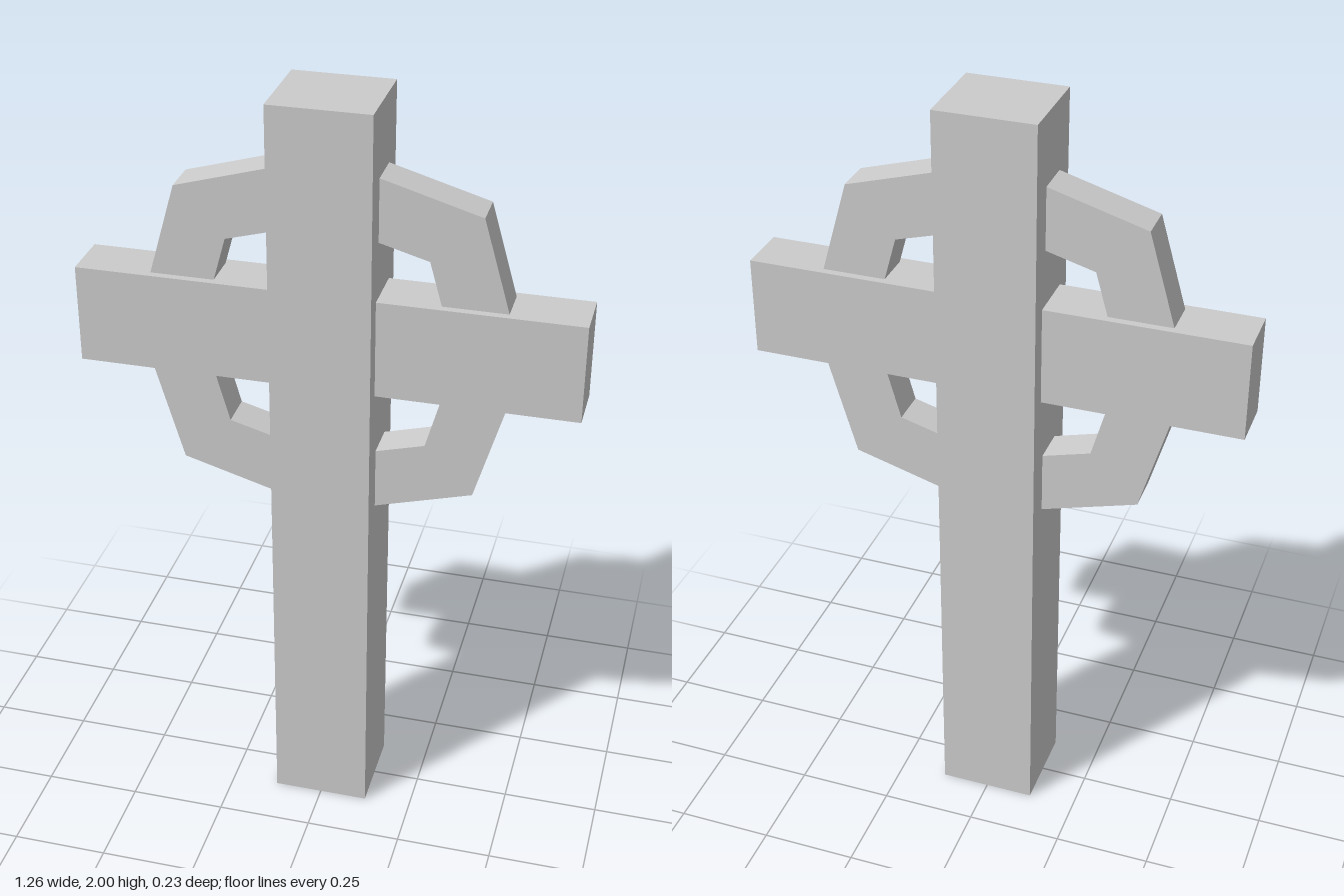
import * as THREE from 'three';

const material = new THREE.MeshStandardMaterial({ color: 0xcccccc, flatShading: true });

function addPart(group, name, geometry, y) {
  const mesh = new THREE.Mesh(geometry, material);
  mesh.name = name;
  mesh.position.y = y;
  group.add(mesh);
}

// Eight-sided loop: one radius on the axes, another on the diagonals
function octagon(axisRadius, diagonalRadius) {
  return Array.from({ length: 8 }, (_, i) => {
    const r = i % 2 ? diagonalRadius : axisRadius;
    const a = (i * Math.PI) / 4;
    return new THREE.Vector2(r * Math.cos(a), r * Math.sin(a));
  });
}

export function createModel() {
  const group = new THREE.Group();
  group.name = 'ringedCross';

  // Upright and arms
  addPart(group, 'post', new THREE.BoxGeometry(0.253, 2, 0.232), 1);
  addPart(group, 'crossbar', new THREE.BoxGeometry(1.264, 0.255, 0.136), 1.387);

  // Faceted ring passing through the post and crossbar
  const depth = 0.097;
  const shape = new THREE.Shape(octagon(0.483, 0.53));
  shape.holes.push(new THREE.Path(octagon(0.32, 0.354)));
  const ring = new THREE.ExtrudeGeometry(shape, { depth, bevelEnabled: false });
  ring.translate(0, 0, -depth / 2);
  addPart(group, 'ring', ring, 1.376);

  return group;
}
